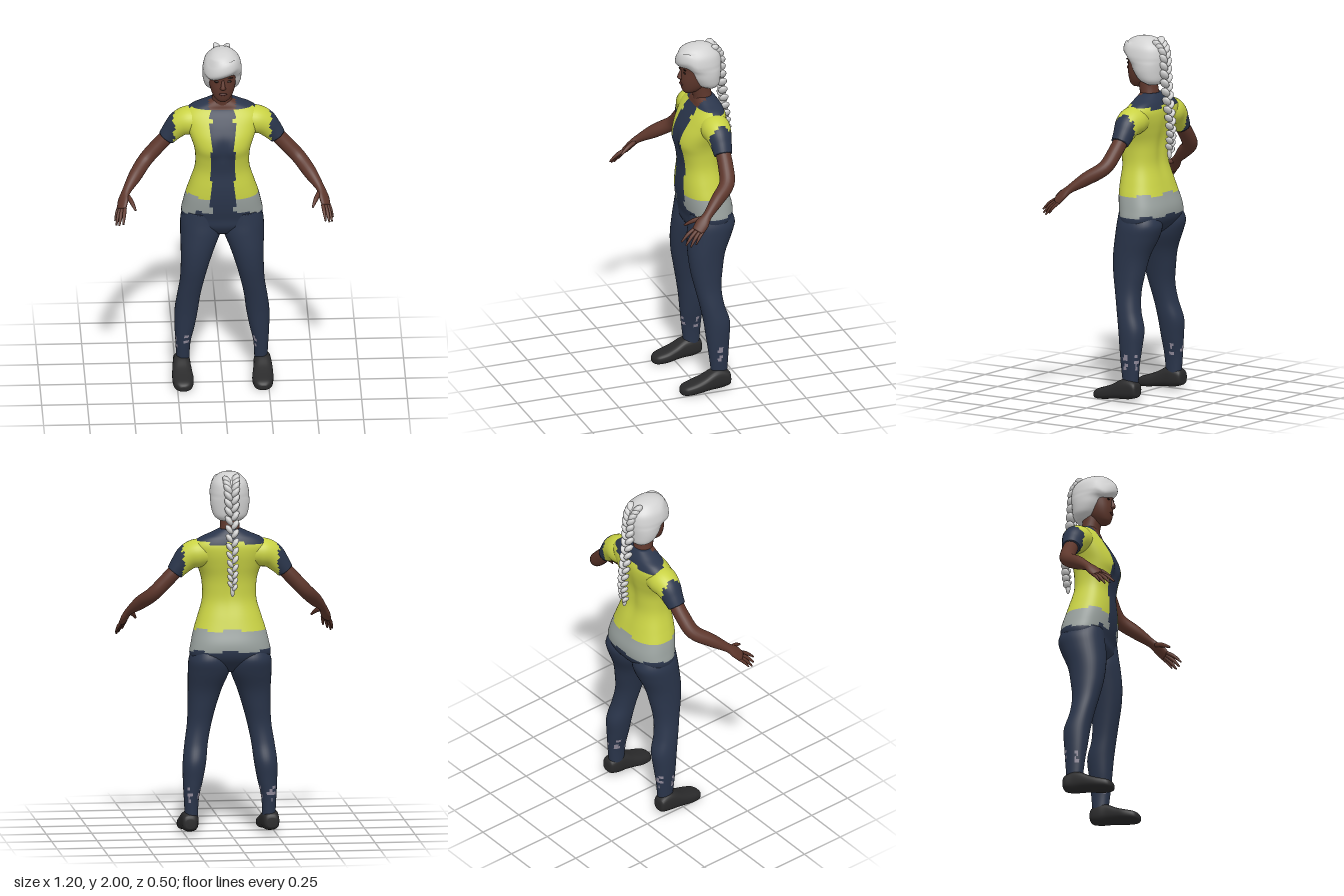
import * as THREE from 'three';

const mat = (name, color) => Object.assign(new THREE.MeshStandardMaterial({ color }), { name });
const M = {
  lime: mat('lime jersey', 0xc9d244), navy: mat('navy cloth', 0x2a354b), grey: mat('grey hem', 0x98a09d),
  skin: mat('brown skin', 0x5e372c), hair: mat('silver hair', 0xd2d2d2), shoe: mat('black leather', 0x2a2a2b),
  sock: mat('lilac patch', 0x918b9b), dark: mat('dark features', 0x21160f), lip: mat('lips', 0x4a2622),
};
const V = (x, y, z) => new THREE.Vector3(x, y, z);

// Catmull-Rom interpolation of rows of numbers into n + 1 rows
function smooth(rows, n) {
  const at = (i) => rows[Math.min(rows.length - 1, Math.max(0, i))];
  return Array.from({ length: n + 1 }, (_, k) => {
    const t = (k / n) * (rows.length - 1), i = Math.min(rows.length - 2, Math.floor(t)), f = t - i;
    return rows[0].map((_, c) => {
      const [a, b, d, e] = [at(i - 1)[c], at(i)[c], at(i + 1)[c], at(i + 2)[c]];
      return b + 0.5 * f * (d - a + f * (2 * a - 5 * b + 4 * d - e + f * (3 * (b - d) + e - a)));
    });
  });
}

// Horizontal sections from rows [y, xMin, xMax, zMin, zMax], rising in y
const levels = (rows, n) => smooth(rows, n).map(([y, x0, x1, z0, z1]) => ({
  c: V((x0 + x1) / 2, y, (z0 + z1) / 2), u: V(0, 0, (z1 - z0) / 2), v: V((x1 - x0) / 2, 0, 0),
}));
// Symmetric sections from rows [y, halfWidth, zMin, zMax]
const centred = (rows, n) => levels(rows.map(([y, w, a, b]) => [y, -w, w, a, b]), n);

// Sections along a path of rows [x, y, z, wide radius, thin radius]
function limb(rows, n, wide) {
  const r = smooth(rows, n), p = r.map(([x, y, z]) => V(x, y, z));
  return r.map((row, i) => {
    const t = p[Math.min(n, i + 1)].clone().sub(p[Math.max(0, i - 1)]).normalize();
    const u = wide.clone().addScaledVector(t, -wide.dot(t)).normalize();
    const v = t.clone().cross(u);
    return { c: p[i], u: u.multiplyScalar(row[3]), v: v.multiplyScalar(row[4]) };
  });
}

const flip = (a) => V(-a.x, a.y, a.z);
const mirror = (rings) => rings.map(({ c, u, v }) => ({ c: flip(c), u: flip(v), v: flip(u) }));

// Skin over sections; paint(centre) picks the material of each face
function loft(name, rings, seg, paint, power = 2, shape = null) {
  const pos = [], pts = [], buckets = new Map();
  const sp = (a) => Math.sign(a) * Math.abs(a) ** (2 / power);
  const add = (p) => { if (shape) shape(p); pts.push(p); pos.push(p.x, p.y, p.z); };
  for (const { c, u, v } of rings) {
    for (let j = 0; j < seg; j++) {
      const a = (j / seg) * Math.PI * 2;
      add(c.clone().addScaledVector(u, sp(Math.cos(a))).addScaledVector(v, sp(Math.sin(a))));
    }
  }
  add(rings[0].c.clone());
  add(rings.at(-1).c.clone());
  const face = (...ids) => {
    const mid = ids.reduce((s, i) => s.add(pts[i]), V(0, 0, 0)).divideScalar(ids.length);
    const m = paint.isMaterial ? paint : paint(mid);
    if (!buckets.has(m)) buckets.set(m, []);
    buckets.get(m).push(ids[0], ids[1], ids[2]);
    if (ids.length === 4) buckets.get(m).push(ids[0], ids[2], ids[3]);
  };
  const last = (rings.length - 1) * seg, hub = rings.length * seg;
  for (let j = 0; j < seg; j++) {
    const k = (j + 1) % seg;
    for (let i = 0; i < last; i += seg) face(i + j, i + k, i + seg + k, i + seg + j);
    face(hub, k, j);
    face(hub + 1, last + j, last + k);
  }
  const g = new THREE.BufferGeometry(), index = [];
  [...buckets.values()].forEach((ids, i) => { g.addGroup(index.length, ids.length, i); index.push(...ids); });
  g.setAttribute('position', new THREE.Float32BufferAttribute(pos, 3));
  g.setIndex(index);
  g.computeVertexNormals();
  const mats = [...buckets.keys()];
  const mesh = new THREE.Mesh(g, mats.length > 1 ? mats : mats[0]);
  mesh.name = name;
  return mesh;
}

function blob(name, m, p, r, tilt = 0) {
  const mesh = new THREE.Mesh(new THREE.SphereGeometry(1, 14, 10), m);
  mesh.name = name;
  mesh.position.set(...p);
  mesh.scale.set(...r);
  mesh.rotation.z = tilt;
  return mesh;
}

// Colour rules for the clothes
function paintBody({ x, y, z }) {
  const ax = Math.abs(x), step = Math.sin(x * 31 + z * 23) > 0 ? 0.016 : 0;
  if (y > 1.64 && ax < 0.072 && z > -0.08) return M.skin;
  if (y > 1.645 || (y > 1.615 + step && z < -0.08)) return M.navy;
  if (z > -0.06 && ax < 0.064 && y > 1.04) return M.navy;
  if (y > 1.13 + step * 0.6) return M.lime;
  return y > (ax > 0.15 || z < -0.1 ? 1.02 : 1.04) + step ? M.grey : M.navy;
}
const paintSleeve = ({ x, y, z }) => {
  const step = Math.sin(y * 90 + z * 70) > 0 ? 0.012 : 0;
  return Math.abs(x) > 0.257 + step ? M.navy : M.lime;
};
const paintLeg = ({ x, y, z }) =>
  y > 0.18 && y < 0.27 && Math.sin(z * 95 + x * 40) + 0.5 * Math.sin(y * 130 + z * 60) > 0.7 ? M.sock : M.navy;

export function createModel() {
  const model = new THREE.Group();
  model.name = 'figure';

  // Torso and hips, with a gentle bust and spine hollow
  model.add(loft('torso', centred([
    [0.9, 0.06, -0.13, 0.0], [0.95, 0.19, -0.19, 0.03], [1.0, 0.222, -0.222, 0.035], [1.06, 0.214, -0.225, 0.048],
    [1.13, 0.198, -0.205, 0.056], [1.2, 0.176, -0.185, 0.056], [1.29, 0.15, -0.16, 0.05], [1.37, 0.148, -0.158, 0.062],
    [1.43, 0.157, -0.163, 0.078], [1.49, 0.178, -0.175, 0.065], [1.55, 0.2, -0.185, 0.035], [1.6, 0.21, -0.185, 0.005],
    [1.64, 0.172, -0.172, -0.022], [1.665, 0.115, -0.158, -0.03], [1.69, 0.06, -0.14, -0.04],
  ], 66), 64, paintBody, 2.4, (p) => {
    const mid = Math.exp(-((p.x / 0.035) ** 2));
    if (p.z > 0) p.z -= 0.014 * mid * Math.exp(-(((p.y - 1.43) / 0.06) ** 2));
    if (p.z < -0.12) p.z += 0.012 * mid * Math.exp(-(((p.y - 1.4) / 0.16) ** 2));
  }));

  // Paired limbs, given for the model's left
  const wide = V(-0.6, 0.25, 0.72);
  const sleeve = limb([
    [0.12, 1.555, -0.09, 0.075, 0.07], [0.18, 1.555, -0.09, 0.082, 0.079], [0.23, 1.535, -0.09, 0.072, 0.072],
    [0.272, 1.492, -0.09, 0.058, 0.058], [0.304, 1.452, -0.088, 0.05, 0.047],
  ], 24, V(0, 0, 1));
  const arm = limb([
    [0.28, 1.48, -0.09, 0.04, 0.04], [0.35, 1.405, -0.085, 0.042, 0.04], [0.42, 1.33, -0.065, 0.042, 0.039],
    [0.48, 1.27, 0.015, 0.036, 0.037], [0.53, 1.215, 0.088, 0.026, 0.022], [0.548, 1.18, 0.125, 0.037, 0.018],
    [0.56, 1.142, 0.158, 0.034, 0.015],
  ], 30, wide);
  const digits = [
    ['index finger', [0.541, 1.152, 0.172], [0.553, 1.09, 0.25], 0.01],
    ['middle finger', [0.555, 1.145, 0.163], [0.575, 1.075, 0.232], 0.0105],
    ['ring finger', [0.567, 1.14, 0.15], [0.59, 1.068, 0.21], 0.01],
    ['little finger', [0.576, 1.138, 0.135], [0.597, 1.08, 0.182], 0.0085],
    ['thumb', [0.524, 1.2, 0.115], [0.484, 1.155, 0.208], 0.0125],
  ].map(([name, a, b, r]) => {
    const m = a.map((q, i) => (q + b[i]) / 2);
    m[1] += 0.006;
    return [name, limb([[...a, r, r], [...m, r, r], [...b, r * 0.45, r * 0.45]], 8, wide)];
  });
  const leg = levels([
    [0.09, 0.178, 0.248, -0.142, -0.055], [0.2, 0.172, 0.254, -0.15, -0.042], [0.3, 0.15, 0.259, -0.158, -0.03],
    [0.4, 0.132, 0.259, -0.164, -0.018], [0.5, 0.12, 0.247, -0.135, 0.0], [0.6, 0.1, 0.232, -0.125, 0.022],
    [0.7, 0.074, 0.227, -0.138, 0.042], [0.8, 0.042, 0.227, -0.158, 0.05], [0.9, 0.004, 0.229, -0.2, 0.045],
    [0.97, 0.004, 0.226, -0.22, 0.036], [1.03, 0.02, 0.205, -0.2, 0.03],
  ], 60);
  const shoe = smooth([
    [-0.156, 0.2, 0.25, 0.04, 0.09], [-0.145, 0.183, 0.265, 0.028, 0.112], [-0.1, 0.174, 0.268, 0.016, 0.13],
    [-0.055, 0.172, 0.272, 0.014, 0.124], [0, 0.165, 0.276, 0.01, 0.094], [0.05, 0.16, 0.276, 0.003, 0.074],
    [0.1, 0.168, 0.268, 0, 0.058], [0.122, 0.185, 0.25, 0.004, 0.045], [0.13, 0.205, 0.235, 0.012, 0.033],
  ], 32).map(([z, x0, x1, y0, y1]) => ({
    c: V((x0 + x1) / 2, (y0 + y1) / 2, z), u: V((x1 - x0) / 2, 0, 0), v: V(0, (y1 - y0) / 2, 0),
  }));
  for (const side of ['left', 'right']) {
    const s = (rings) => (side === 'left' ? rings : mirror(rings));
    model.add(loft(side + ' sleeve', s(sleeve), 32, paintSleeve));
    model.add(loft(side + ' arm', s(arm), 24, M.skin));
    for (const [name, rings] of digits) model.add(loft(`${side} ${name}`, s(rings), 10, M.skin));
    model.add(loft(side + ' trouser leg', s(leg), 36, paintLeg, 2.15));
    model.add(loft(side + ' shoe', s(shoe), 28, M.shoe, 2.7));
  }

  // Neck, head and face
  model.add(loft('neck', centred([
    [1.62, 0.065, -0.145, -0.03], [1.68, 0.056, -0.135, -0.03], [1.73, 0.053, -0.125, -0.02], [1.8, 0.055, -0.12, -0.01],
  ], 12), 24, M.skin));
  model.add(loft('head', centred([
    [1.715, 0.022, -0.03, 0.022], [1.73, 0.042, -0.06, 0.034], [1.76, 0.06, -0.1, 0.042], [1.8, 0.071, -0.12, 0.046],
    [1.85, 0.077, -0.13, 0.043], [1.9, 0.078, -0.13, 0.045], [1.95, 0.05, -0.1, 0.02],
  ], 28), 32, M.skin, 2.2));
  model.add(loft('nose', centred([
    [1.798, 0.008, 0.03, 0.05], [1.807, 0.016, 0.03, 0.063], [1.82, 0.012, 0.03, 0.063], [1.855, 0.007, 0.025, 0.047],
  ], 12), 14, M.skin));
  model.add(blob('mouth', M.lip, [0, 1.771, 0.042], [0.022, 0.008, 0.008]));
  for (const s of [-1, 1]) {
    model.add(blob('eye', M.dark, [s * 0.034, 1.846, 0.036], [0.014, 0.006, 0.005]));
    model.add(blob('eyebrow', M.dark, [s * 0.036, 1.866, 0.036], [0.019, 0.004, 0.005], s * 0.1));
  }

  // Hair cap with a side-swept fringe
  model.add(loft('hair', centred([
    [1.74, 0.06, -0.155, -0.08], [1.765, 0.09, -0.172, -0.035], [1.81, 0.104, -0.178, -0.002], [1.85, 0.107, -0.182, 0.018],
    [1.873, 0.107, -0.184, 0.05], [1.9, 0.106, -0.184, 0.07], [1.945, 0.094, -0.172, 0.062], [1.98, 0.064, -0.135, 0.03],
    [1.995, 0.035, -0.1, -0.01], [2.0, 0.008, -0.06, -0.045],
  ], 36), 40, M.hair, 2.15, (p) => {
    if (p.y < 1.96) p.y += 0.3 * p.x * THREE.MathUtils.smoothstep(p.z, -0.02, 0.04);
  }));

  // Braid of overlapping strands
  const braid = new THREE.Group();
  braid.name = 'braid';
  const path = new THREE.CatmullRomCurve3([
    V(0, 1.965, -0.135), V(0, 1.92, -0.172), V(0, 1.82, -0.185), V(0, 1.7, -0.196),
    V(0, 1.58, -0.212), V(0, 1.47, -0.222), V(0, 1.38, -0.214),
  ]);
  const count = 30;
  for (let i = 0; i <= count; i++) {
    const t = i / count, s = i % 2 ? 1 : -1, k = 1 - 0.42 * t, p = path.getPoint(t);
    braid.add(blob('strand', M.hair, [s * 0.021 * k, p.y, p.z], [0.02 * k, 0.038 * k, 0.03 * (1 - 0.25 * t)], -s * 0.6));
  }
  braid.add(blob('braid tip', M.hair, [0, 1.36, -0.211], [0.012, 0.032, 0.013]));
  model.add(braid);
  return model;
}
